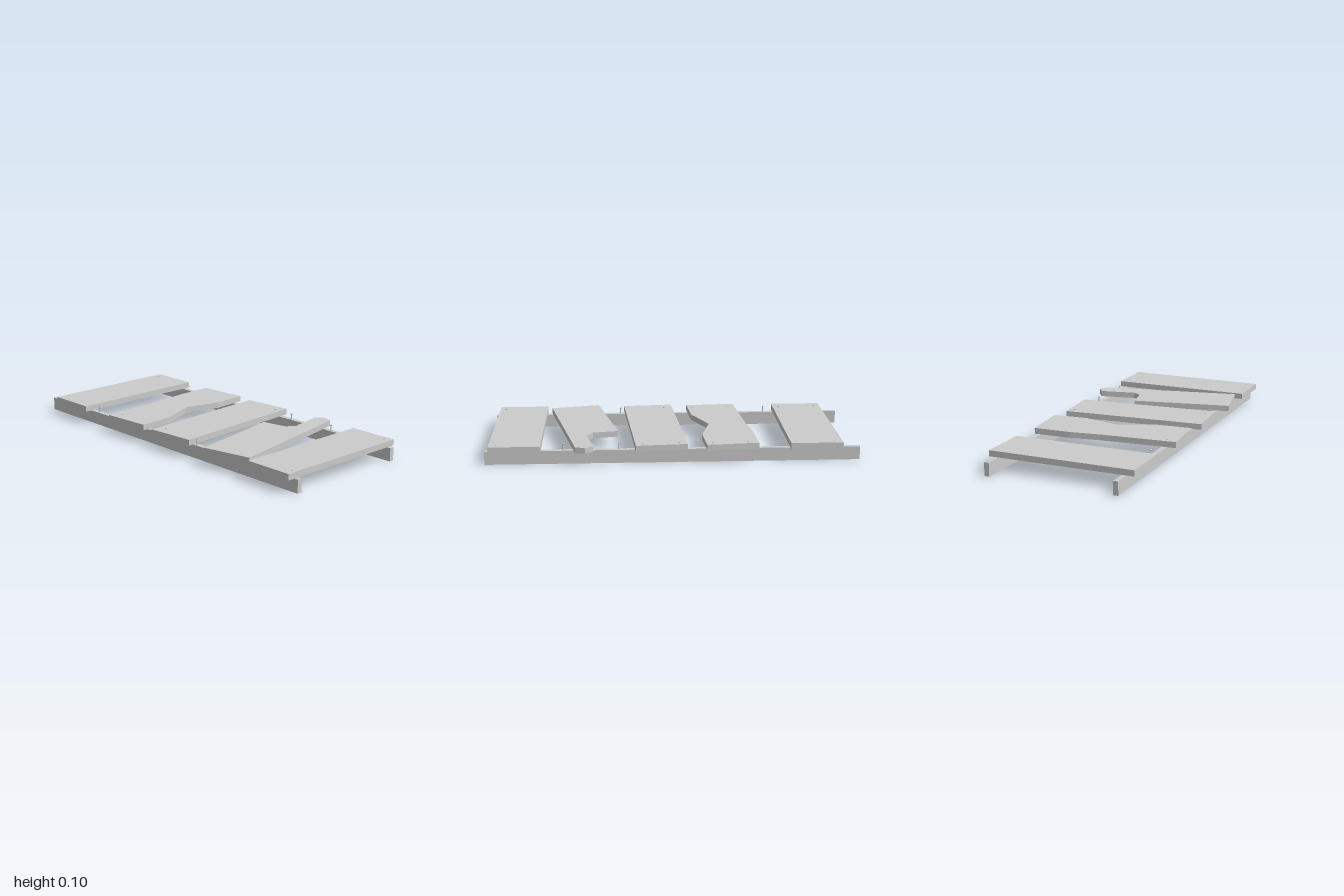
import * as THREE from 'three';

const RAIL_H = 0.072, PLANK_H = 0.032, TOP = RAIL_H + PLANK_H;

export function createModel() {
  const group = new THREE.Group();
  const material = new THREE.MeshStandardMaterial({ color: 0xcccccc, flatShading: true });

  const add = (parent, geometry, name, x = 0, y = 0, z = 0) => {
    const mesh = new THREE.Mesh(geometry, material);
    mesh.name = name;
    mesh.position.set(x, y, z);
    parent.add(mesh);
    return mesh;
  };

  // Two long rails under the planks
  add(group, new THREE.BoxGeometry(0.027, RAIL_H, 2), 'rightRail', -0.355, RAIL_H / 2, 0);
  add(group, new THREE.BoxGeometry(0.027, RAIL_H, 2), 'leftRail', 0.35, RAIL_H / 2, 0);

  // Plank outlines as [x, z], from the back to the front
  const planks = {
    backPlank: [[-0.41, -0.905], [0.391, -0.905], [0.391, -0.625], [-0.41, -0.625]],
    splitPlank: [[-0.42, -0.394], [0, -0.426], [0.167, -0.449], [0.375, -0.456], [0.4, -0.178],
      [0.204, -0.164], [0.003, -0.217], [-0.198, -0.13], [-0.4, -0.116]],
    skewedPlank: [[-0.42, -0.024], [0.378, -0.077], [0.4, 0.2], [-0.4, 0.254]],
    brokenPlank: [[-0.43, 0.404], [0.119, 0.293], [0.145, 0.431], [0.193, 0.465],
      [0.394, 0.425], [0.425, 0.468], [0.41, 0.52], [-0.373, 0.677]],
    frontPlank: [[-0.41, 0.703], [0.391, 0.703], [0.391, 0.978], [-0.41, 0.978]],
  };
  for (const [name, outline] of Object.entries(planks)) {
    const shape = new THREE.Shape(outline.map(([x, z]) => new THREE.Vector2(x, -z)));
    const geometry = new THREE.ExtrudeGeometry(shape, { depth: PLANK_H, bevelEnabled: false });
    geometry.rotateX(-Math.PI / 2);
    add(group, geometry, name, 0, RAIL_H, 0);
  }

  // Nails: thin shank with a flat head, some left bare on the rails
  const shankGeometry = new THREE.CylinderGeometry(0.003, 0.003, 0.05, 8);
  const headGeometry = new THREE.CylinderGeometry(0.007, 0.005, 0.004, 8);
  const addNail = (name, x, z) => {
    const nail = new THREE.Group();
    nail.name = name;
    nail.position.set(x, TOP, z);
    add(nail, shankGeometry, 'nailShank', 0, -0.026, 0);
    add(nail, headGeometry, 'nailHead', 0, -0.001, 0);
    group.add(nail);
  };
  const bareNails = [[-0.352, -0.568], [-0.362, 0.275], [0.346, 0.288], [0.346, 0.584]];
  const plankNails = [
    [-0.355, -0.36], [-0.355, -0.15], [0.35, -0.4], [0.35, -0.21],
    [-0.355, 0.02], [-0.355, 0.2], [0.35, -0.03], [0.35, 0.16], [-0.355, 0.6],
  ];
  for (const z of [-0.87, -0.66, 0.745, 0.945]) plankNails.push([-0.355, z], [0.35, z]);
  bareNails.forEach(([x, z]) => addNail('bareNail', x, z));
  plankNails.forEach(([x, z]) => addNail('plankNail', x, z));

  return group;
}
